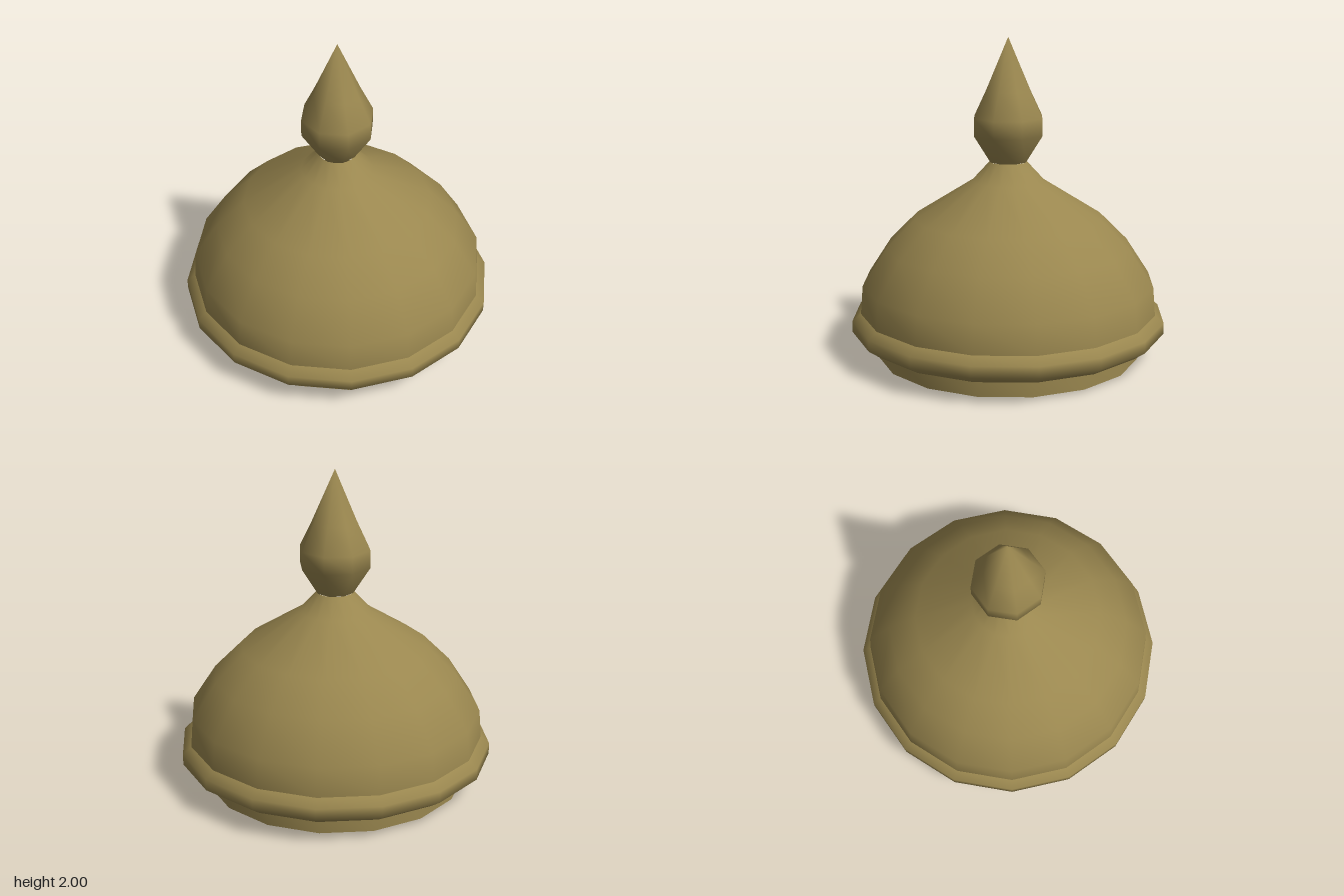
import * as THREE from 'three';
import { mergeVertices } from 'three/addons/utils/BufferGeometryUtils.js';

export function createModel() {
  const group = new THREE.Group();
  const brass = new THREE.MeshStandardMaterial({ color: 0x9a874f });
  brass.name = 'brass';

  // Turned part: profile of [radius, height], rising for outward faces, falling for inward ones
  function turned(name, profile, sides = 16, start = 0) {
    const points = profile.map(([r, y]) => new THREE.Vector2(r, y));
    let geometry = new THREE.LatheGeometry(points, sides, start);
    // Weld the seam and poles so the shading runs smoothly around
    geometry.deleteAttribute('uv');
    geometry.deleteAttribute('normal');
    geometry = mergeVertices(geometry, 1e-4);
    geometry.computeVertexNormals();
    const mesh = new THREE.Mesh(geometry, brass);
    mesh.name = name;
    group.add(mesh);
  }

  // Collar that fits inside the vessel
  turned('collar', [[0.83, 0], [0.83, 0.125]]);
  turned('collarBottom', [[0.72, 0], [0.83, 0]]);
  turned('collarInside', [[0.72, 0.15], [0.72, 0]]);

  // Projecting rim
  turned('rimUnderside', [[0.83, 0.125], [0.92, 0.125]]);
  turned('rim', [[0.92, 0.125], [0.99, 0.175], [0.99, 0.245], [0.935, 0.29]]);

  // Domed lid, with an even wall thickness around the hollow inside
  turned('dome', [
    [0.935, 0.29], [0.92, 0.47], [0.77, 0.7], [0.59, 0.88], [0.225, 1.11], [0.115, 1.23],
  ]);
  turned('domeInside', [
    [0, 1.12], [0.16, 1.02], [0.52, 0.79], [0.68, 0.63], [0.81, 0.44], [0.82, 0.3], [0.72, 0.15],
  ]);

  // Eight-sided pointed finial, slightly turned
  const twist = THREE.MathUtils.degToRad(34.5);
  turned('finial', [
    [0.118, 1.23], [0.226, 1.4], [0.226, 1.51], [0.147, 1.67], [0, 2],
  ], 8, twist);
  turned('finialBase', [[0, 1.23], [0.118, 1.23]], 8, twist);

  return group;
}
